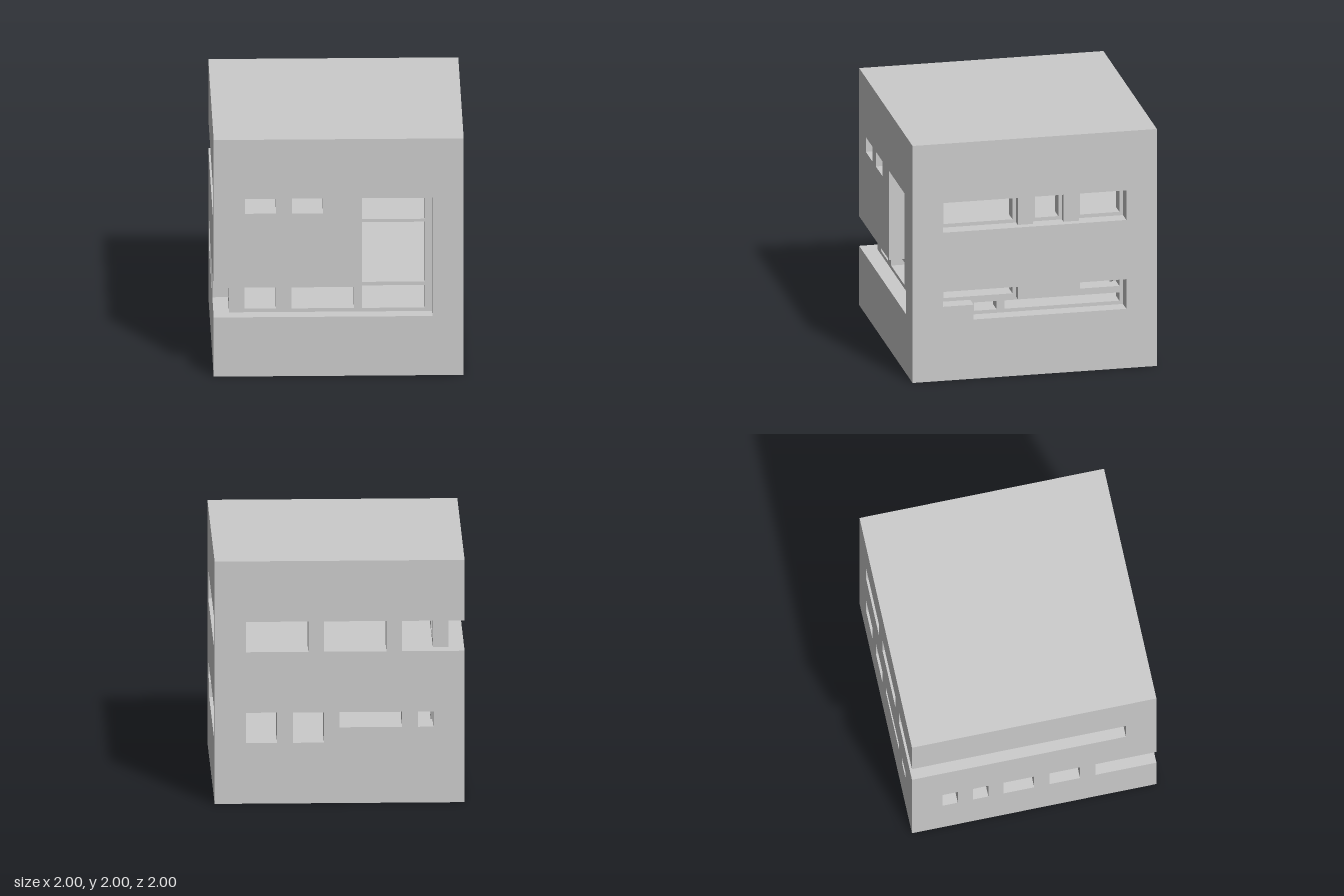
import * as THREE from 'three';

const material = new THREE.MeshStandardMaterial({ color: 0xcccccc, flatShading: true });
const T = 0.125; // thickness of each of the two wall layers

// Rectangle as corner points: u0, u1 along the wall, y0, y1 in height
const rect = (u0, u1, y0, y1) => [[u0, y0], [u1, y0], [u1, y1], [u0, y1]];
const toVectors = pts => pts.map(p => new THREE.Vector2(p[0], p[1]));

export function createModel() {
  const group = new THREE.Group();

  const add = (name, geometry) => {
    const mesh = new THREE.Mesh(geometry, material);
    mesh.name = name;
    group.add(mesh);
    return mesh;
  };

  const block = (name, x0, x1, y0, y1, z0, z1) =>
    add(name, new THREE.BoxGeometry(x1 - x0, y1 - y0, z1 - z0))
      .position.set((x0 + x1) / 2, (y0 + y1) / 2, (z0 + z1) / 2);

  const panel = (outline, holes) => {
    const shape = new THREE.Shape(toVectors(outline));
    holes.forEach(h => shape.holes.push(new THREE.Path(toVectors(h))));
    return new THREE.ExtrudeGeometry(shape, { depth: T, bevelEnabled: false });
  };
  // Wall across x, starting at depth z0
  const wallX = (name, z0, outline, holes) => {
    add(name, panel(outline, holes)).position.z = z0;
  };
  // Wall along z, starting at x0
  const wallZ = (name, x0, outline, holes) => {
    const mesh = add(name, panel(outline, holes));
    mesh.rotation.y = -Math.PI / 2;
    mesh.position.x = x0 + T;
  };

  // Solid base and roof mass, thin floors between the storeys
  block('base', -0.75, 0.75, 0, 0.5, -0.75, 0.75);
  block('roof', -0.75, 0.75, 1.5, 2, -0.75, 0.75);
  block('lowerFloor', -0.75, 0.75, 0.735, 0.75, -0.75, 0.75);
  block('upperFloor', -0.75, 0.75, 1.235, 1.25, -0.75, 0.75);

  // Front: L-shaped recess open at the left corner, two plain windows
  const frontWindows = [[-0.75, -0.5], [-0.375, -0.125]].map(([a, b]) => rect(a, b, 1.375, 1.5));
  wallX('frontWall', 0.875, [
    [-1, 0], [1, 0], [1, 2], [-1, 2], [-1, 0.75], [0.125, 0.75],
    [0.125, 1.5], [0.75, 1.5], [0.75, 0.5], [-1, 0.5],
  ], frontWindows);
  wallX('frontWindowFrame', 0.75, rect(-0.875, 0.875, 0, 2), [
    ...frontWindows,
    rect(-0.75, -0.5, 0.53, 0.72),
    rect(-0.375, 0.125, 0.53, 0.72),
    ...[[0.53, 0.72], [0.75, 1.255], [1.28, 1.47]].map(([a, b]) => rect(0.1875, 0.6875, a, b)),
  ]);

  // Back: windows through both layers, the upper row turning the corner
  const backWindows = [
    rect(0.25, 0.75, 1.25, 1.5), rect(-0.375, 0.125, 1.25, 1.5),
    rect(0.5, 0.75, 0.5, 0.75), rect(0.125, 0.375, 0.5, 0.75),
    rect(-0.5, 0, 0.625, 0.75), rect(-0.75, -0.625, 0.625, 0.75),
  ];
  wallX('backWall', -1, [
    [-1, 0], [1, 0], [1, 2], [-1, 2], [-1, 1.5], [-0.5, 1.5], [-0.5, 1.25], [-1, 1.25],
  ], backWindows);
  wallX('backInnerWall', -0.875, rect(-0.875, 0.875, 0, 2),
    [...backWindows, rect(-0.75, -0.5, 1.25, 1.5)]);

  // Side at +x: two long slits with framed windows behind
  wallZ('leftWall', 0.875, rect(-0.875, 0.875, 0, 2), [
    rect(-0.75, 0.75, 1.25, 1.5),
    [[-0.75, 0.5], [0.5, 0.5], [0.5, 0.625], [0.75, 0.625], [0.75, 0.75], [-0.75, 0.75]],
  ]);
  wallZ('leftWindowFrame', 0.75, rect(-0.75, 0.75, 0, 2), [
    ...[[-0.72, -0.4], [-0.22, -0.03], [0.155, 0.72]].map(([a, b]) => rect(a, b, 1.28, 1.47)),
    ...[[-0.72, -0.4], [0.155, 0.72]].map(([a, b]) => rect(a, b, 0.655, 0.72)),
    ...[[-0.72, 0.22], [0.285, 0.47]].map(([a, b]) => rect(a, b, 0.53, 0.6)),
  ]);
  // Raised blocks inside the slits
  block('pier', 0.875, 0.9375, 1.25, 1.5, 0, 0.125);
  block('pier', 0.875, 0.9375, 1.25, 1.5, -0.375, -0.25);
  block('lintel', 0.875, 0.9375, 0.625, 0.75, -0.375, 0.125);

  // Side at -x: slit open to the back corner, small windows, front corner notch
  const smallWindows = [[-0.75, -0.625], [-0.5, -0.375], [-0.25, 0], [0.125, 0.375]];
  wallZ('rightWall', -1, [
    [-0.875, 0], [0.875, 0], [0.875, 0.5], [0.5, 0.5], [0.5, 0.75], [0.875, 0.75], [0.875, 2],
    [-0.875, 2], [-0.875, 1.5], [0.75, 1.5], [0.75, 1.25], [-0.875, 1.25],
  ], smallWindows.map(([a, b]) => rect(a, b, 0.5, 0.75)));
  wallZ('rightWindowFrame', -0.875, rect(-0.75, 0.75, 0, 2), [
    ...[[-0.735, -0.375], [-0.25, 0], [0.125, 0.26], [0.375, 0.6875]]
      .map(([a, b]) => rect(a, b, 1.28, 1.47)),
    ...smallWindows.map(([a, b]) => rect(Math.max(a, -0.735), b, 0.51, 0.73)),
    rect(0.5625, 0.72, 0.53, 0.72),
  ]);

  return group;
}
